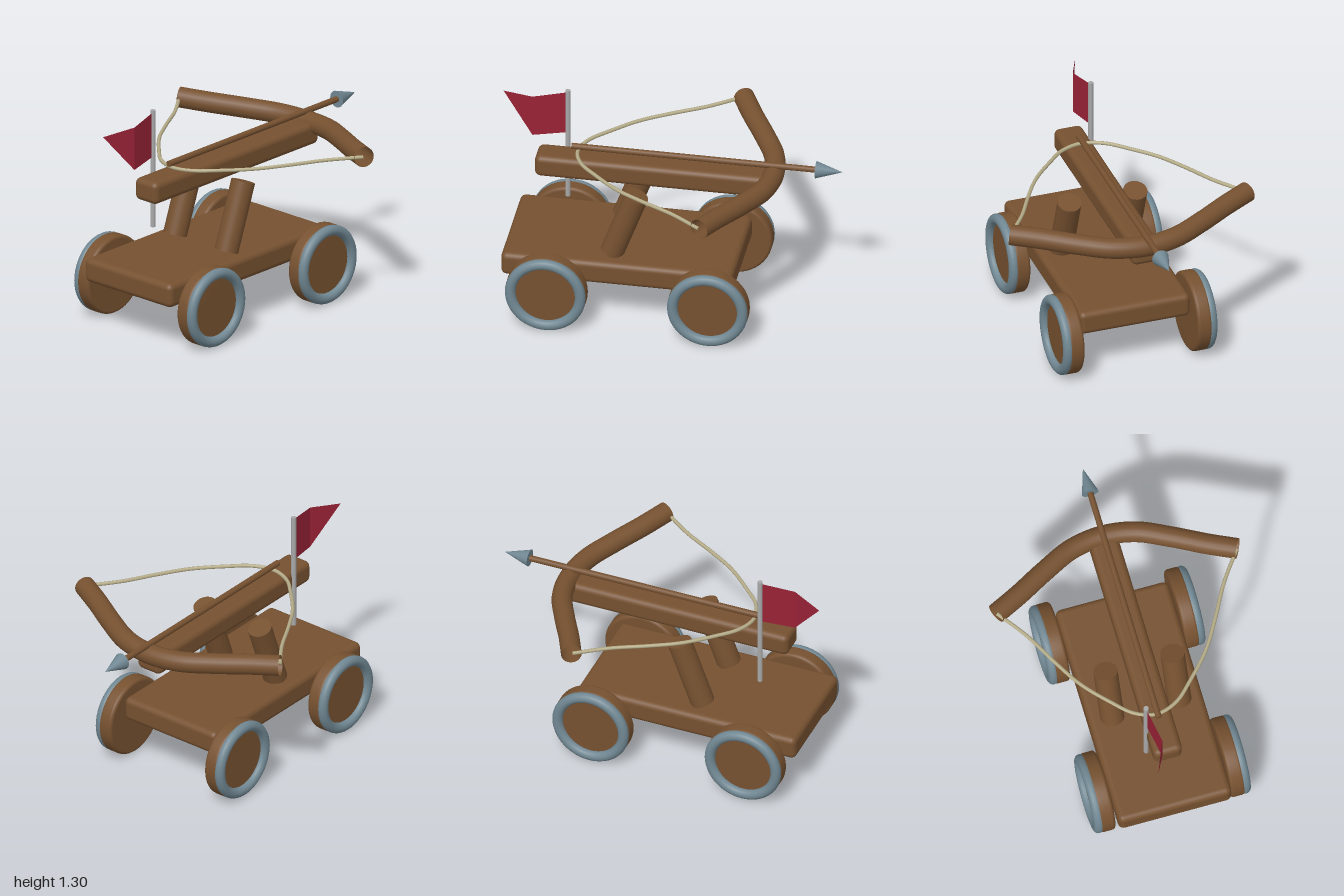
import * as THREE from 'three';
import { RoundedBoxGeometry } from 'three/addons/geometries/RoundedBoxGeometry.js';

const V = (x, y, z) => new THREE.Vector3(x, y, z);

export function createModel() {
  const model = new THREE.Group();
  model.name = 'ballista';

  const mat = (name, color, side = THREE.FrontSide) =>
    Object.assign(new THREE.MeshStandardMaterial({ color, side }), { name });
  const wood = mat('wood', 0x765130, THREE.DoubleSide);
  const steel = mat('steel', 0x708792);
  const poleGrey = mat('pole grey', 0xa8a8a8);
  const cord = mat('cord', 0xb5ac88);
  const red = mat('flag red', 0x992236, THREE.DoubleSide);

  const add = (name, geometry, material, parent = model) => {
    const mesh = new THREE.Mesh(geometry, material);
    mesh.name = name;
    parent.add(mesh);
    return mesh;
  };

  // Cylinder or cone running between two points
  const rod = (name, a, b, r0, r1, sides, material) => {
    const mesh = add(name, new THREE.CylinderGeometry(r1, r0, a.distanceTo(b), sides), material);
    mesh.position.copy(a).add(b).multiplyScalar(0.5);
    mesh.quaternion.setFromUnitVectors(V(0, 1, 0), b.clone().sub(a).normalize());
    return mesh;
  };

  // Wagon bed and stock
  add('bed', new RoundedBoxGeometry(1.35, 0.145, 0.675, 4, 0.035), wood).position.set(-0.26, 0.346, 0);
  add('stock', new RoundedBoxGeometry(1.395, 0.135, 0.172, 4, 0.035), wood).position.set(-0.087, 0.868, 0);

  // Wheels: rounded wooden disc with a steel rim on the outer face
  const profile = [new THREE.Vector2(0, 0)];
  const R = 0.235, bevel = 0.02, width = 0.09;
  for (let i = 0; i <= 4; i++) {
    const t = (i / 4) * Math.PI / 2;
    profile.push(new THREE.Vector2(R - bevel + bevel * Math.sin(t), bevel - bevel * Math.cos(t)));
  }
  for (let i = 0; i <= 4; i++) {
    const t = (i / 4) * Math.PI / 2;
    profile.push(new THREE.Vector2(R - bevel + bevel * Math.cos(t), width - bevel + bevel * Math.sin(t)));
  }
  profile.push(new THREE.Vector2(0, width));
  const discGeometry = new THREE.LatheGeometry(profile, 48).rotateX(Math.PI / 2);
  const rimGeometry = new THREE.TorusGeometry(0.204, 0.031, 16, 48);
  for (const x of [-0.655, 0.29]) {
    for (const side of [1, -1]) {
      const wheel = new THREE.Group();
      wheel.name = (x > 0 ? 'front' : 'rear') + (side > 0 ? 'NearWheel' : 'FarWheel');
      add('disc', discGeometry, wood, wheel);
      add('rim', rimGeometry, steel, wheel).position.z = 0.094;
      wheel.position.set(x, R, side * 0.343);
      if (side < 0) wheel.rotation.y = Math.PI;
      model.add(wheel);
    }
  }

  // Leaning posts
  for (const z of [0.2, -0.2]) {
    rod('post', V(-0.308, 0.425, z), V(-0.165, 0.815, z), 0.07, 0.07, 32, wood);
  }

  // Mirrors a half path across z = 0; the last point lies on the centre
  const mirrored = (half) => new THREE.CatmullRomCurve3([
    ...half,
    ...half.slice(0, -1).reverse().map((p) => V(p.x, p.y, -p.z)),
  ]);

  // Bow arm
  const bowPath = mirrored([
    V(0.293, 0.966, 0.72), V(0.374, 0.953, 0.56), V(0.475, 0.938, 0.38),
    V(0.567, 0.925, 0.19), V(0.597, 0.92, 0),
  ]);
  add('bow', new THREE.TubeGeometry(bowPath, 64, 0.06, 20), wood);

  // Drawn bowstring
  const stringPath = mirrored([
    V(0.29, 0.966, 0.715), V(0.11, 0.963, 0.585), V(-0.08, 0.96, 0.48), V(-0.25, 0.957, 0.375),
    V(-0.4, 0.954, 0.24), V(-0.505, 0.952, 0.125), V(-0.545, 0.951, 0),
  ]);
  add('bowstring', new THREE.TubeGeometry(stringPath, 80, 0.011, 8), cord);

  // Bolt
  rod('boltShaft', V(-0.58, 0.983, 0), V(0.86, 0.983, 0), 0.018, 0.018, 16, wood);
  rod('boltHead', V(0.845, 0.983, 0), V(1, 0.983, 0), 0.05, 0, 24, steel);

  // Flag pole and folded pennant
  rod('flagPole', V(-0.618, 0.588, -0.087), V(-0.618, 1.302, -0.087), 0.015, 0.015, 16, poleGrey);
  const flag = new THREE.BufferGeometry();
  const p = [
    [-0.618, 1.288, -0.087], [-0.618, 1.017, -0.087],
    [-0.818, 1.26, -0.048], [-0.818, 1.0, -0.048], [-1, 1.232, -0.125],
  ];
  const corners = [0, 2, 1, 2, 3, 1, 2, 4, 3].flatMap((i) => p[i]);
  flag.setAttribute('position', new THREE.Float32BufferAttribute(corners, 3));
  flag.computeVertexNormals();
  add('flag', flag, red);

  return model;
}
